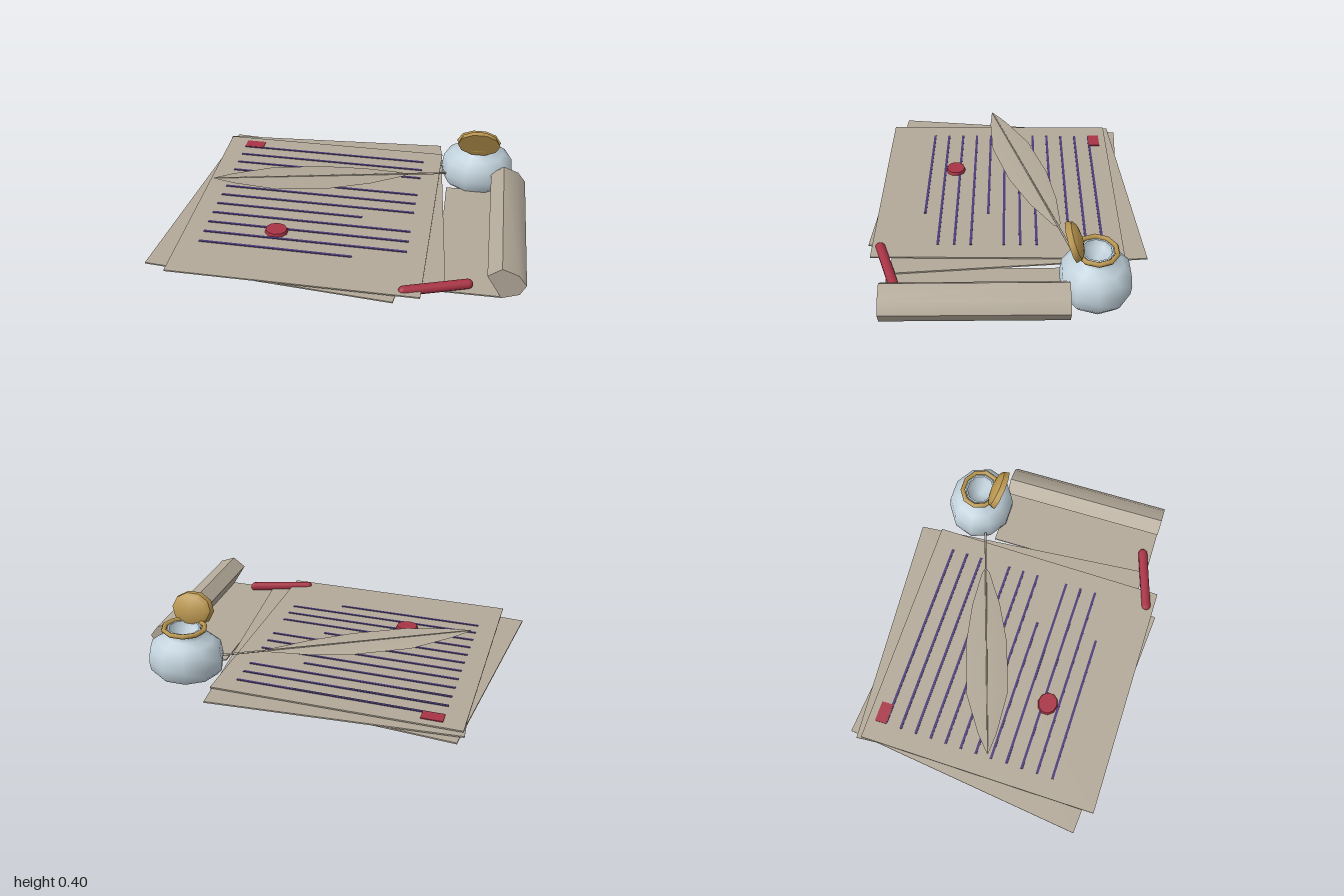
import * as THREE from 'three';
import { toCreasedNormals } from 'three/addons/utils/BufferGeometryUtils.js';

export function createModel() {
  const model = new THREE.Group();
  model.name = 'writingSet';

  const mat = (name, color, side = THREE.FrontSide) => {
    const m = new THREE.MeshStandardMaterial({ color, side });
    m.name = name;
    return m;
  };
  const paper = mat('parchment', 0xb3a999, THREE.DoubleSide);
  const ink = mat('violetInk', 0x4c3c78);
  const wax = mat('redWax', 0xa83345);
  const glass = mat('paleGlass', 0xc0d0da);
  const gold = mat('gold', 0xb8954e);

  const add = (name, geo, material, parent = model) => {
    const mesh = new THREE.Mesh(geo, material);
    mesh.name = name;
    parent.add(mesh);
    return mesh;
  };
  const shapeOf = (pts) => new THREE.Shape(pts.map(([x, y]) => new THREE.Vector2(x, y)));
  const lathe = (pts, crease) => toCreasedNormals(
    new THREE.LatheGeometry(pts.map(([r, y]) => new THREE.Vector2(r, y)), 10, Math.PI / 2), crease);

  // Loose stack of three sheets, corners given as x, z
  const sheets = [
    [[-0.83, -0.72], [0.51, -0.61], [0.34, 0.745], [-1, 0.63]],
    [[-0.86, -0.675], [0.485, -0.755], [0.595, 0.6], [-0.77, 0.67]],
    [[-0.85, -0.65], [0.5, -0.635], [0.475, 0.72], [-0.87, 0.705]],
  ];
  sheets.forEach((corners, i) => {
    const geo = new THREE.ExtrudeGeometry(shapeOf(corners.map(([x, z]) => [x, -z])), { depth: 0.008, bevelEnabled: false });
    geo.rotateX(-Math.PI / 2);
    add('sheet' + (i + 1), geo, paper).position.y = i * 0.013;
  });

  // Written lines, every fourth one short
  const tilt = -0.015;
  for (let i = 0; i < 12; i++) {
    const length = i % 4 === 3 ? 0.845 : 1.13;
    const geo = new THREE.BoxGeometry(length, 0.004, 0.014).translate(length / 2, 0, 0);
    const line = add('writtenLine', geo, ink);
    line.position.set(-0.74 - i * 0.0016, 0.036, -0.543 + i * 0.0892);
    line.rotation.y = tilt;
  }

  // Red initial block and wax seal
  const initial = add('initialBlock', new THREE.BoxGeometry(0.116, 0.005, 0.066), wax);
  initial.position.set(-0.682, 0.037, -0.573);
  initial.rotation.y = tilt;
  const seal = add('waxSeal', toCreasedNormals(new THREE.CylinderGeometry(0.06, 0.066, 0.018, 10), 0.8), wax);
  seal.position.set(-0.357, 0.043, 0.292);
  seal.scale.z = 0.88;

  // Stick of sealing wax
  const stick = add('waxStick', new THREE.CapsuleGeometry(0.027, 0.34, 3, 10).rotateZ(Math.PI / 2), wax);
  stick.position.set(0.547, 0.028, 0.622);
  stick.rotation.y = 0.31;

  // Parchment with a flat tail and a rolled edge
  const scroll = new THREE.Group();
  scroll.name = 'scroll';
  model.add(scroll);
  add('scrollTail', new THREE.BoxGeometry(0.345, 0.008, 0.935), paper, scroll).position.set(0.7175, 0.005, 0.155);
  const rollShape = shapeOf([
    [0.88, 0], [0.97, 0.033], [1, 0.095], [0.955, 0.155], [0.87, 0.188], [0.8, 0.135],
  ]);
  const roll = new THREE.ExtrudeGeometry(rollShape, { depth: 0.935, bevelEnabled: false });
  add('scrollRoll', toCreasedNormals(roll, 0.98), paper, scroll).position.z = -0.3125;

  // Ink bottle, slightly flattened front to back
  const bottle = new THREE.Group();
  bottle.name = 'inkBottle';
  bottle.position.set(0.715, 0, -0.452);
  bottle.scale.z = 0.9;
  model.add(bottle);
  add('bottleBody', lathe([
    [0, 0], [0.18, 0], [0.205, 0.03], [0.21, 0.08], [0.2, 0.155], [0.155, 0.19],
    [0.105, 0.215], [0.092, 0.235], [0.095, 0.262], [0.085, 0.262], [0.075, 0.23], [0, 0.2],
  ], 1), glass, bottle);
  const rim = add('goldRim', new THREE.TorusGeometry(0.114, 0.015, 6, 10).rotateX(Math.PI / 2), gold, bottle);
  rim.position.y = 0.26;
  rim.scale.y = 0.85;

  // Open lid leaning forward on its hinge
  const lid = add('lid', lathe([
    [0, 0], [0.122, 0], [0.112, 0.03], [0.085, 0.046], [0, 0.06],
  ], 0.7), gold);
  lid.position.set(0.715, 0.313, -0.322);
  lid.rotation.x = -1.194;
  lid.scale.z = 0.8;

  // Quill: drooping vane from cross-sections, plus a thin shaft
  const quill = new THREE.Group();
  quill.name = 'quill';
  model.add(quill);
  const tip = new THREE.Vector3(-0.76, 0.2, 0.07);
  const nib = new THREE.Vector3(0.54, 0.073, -0.37);
  const side = new THREE.Vector3(0.32, 0, 0.947);
  const stations = [[0, 0.004], [0.08, 0.05], [0.25, 0.114], [0.47, 0.117], [0.65, 0.08], [0.8, 0.022], [0.82, 0.003]];
  const positions = [];
  const index = [];
  stations.forEach(([t, w], i) => {
    for (const s of [-1, 0, 1]) {
      const p = tip.clone().lerp(nib, t).addScaledVector(side, s * w);
      positions.push(p.x, p.y - Math.abs(s) * w * 0.09, p.z);
    }
    if (i === 0) return;
    for (const k of [0, 1]) {
      const a = (i - 1) * 3 + k;
      index.push(a, a + 1, a + 3, a + 1, a + 4, a + 3);
    }
  });
  const vane = new THREE.BufferGeometry();
  vane.setAttribute('position', new THREE.Float32BufferAttribute(positions, 3));
  vane.setIndex(index);
  vane.computeVertexNormals();
  add('vane', vane, paper, quill);
  const shaftDir = nib.clone().sub(tip);
  const shaft = add('shaft', new THREE.CylinderGeometry(0.006, 0.003, shaftDir.length(), 6), paper, quill);
  shaft.position.copy(tip).lerp(nib, 0.5);
  shaft.quaternion.setFromUnitVectors(new THREE.Vector3(0, 1, 0), shaftDir.normalize());

  return model;
}
